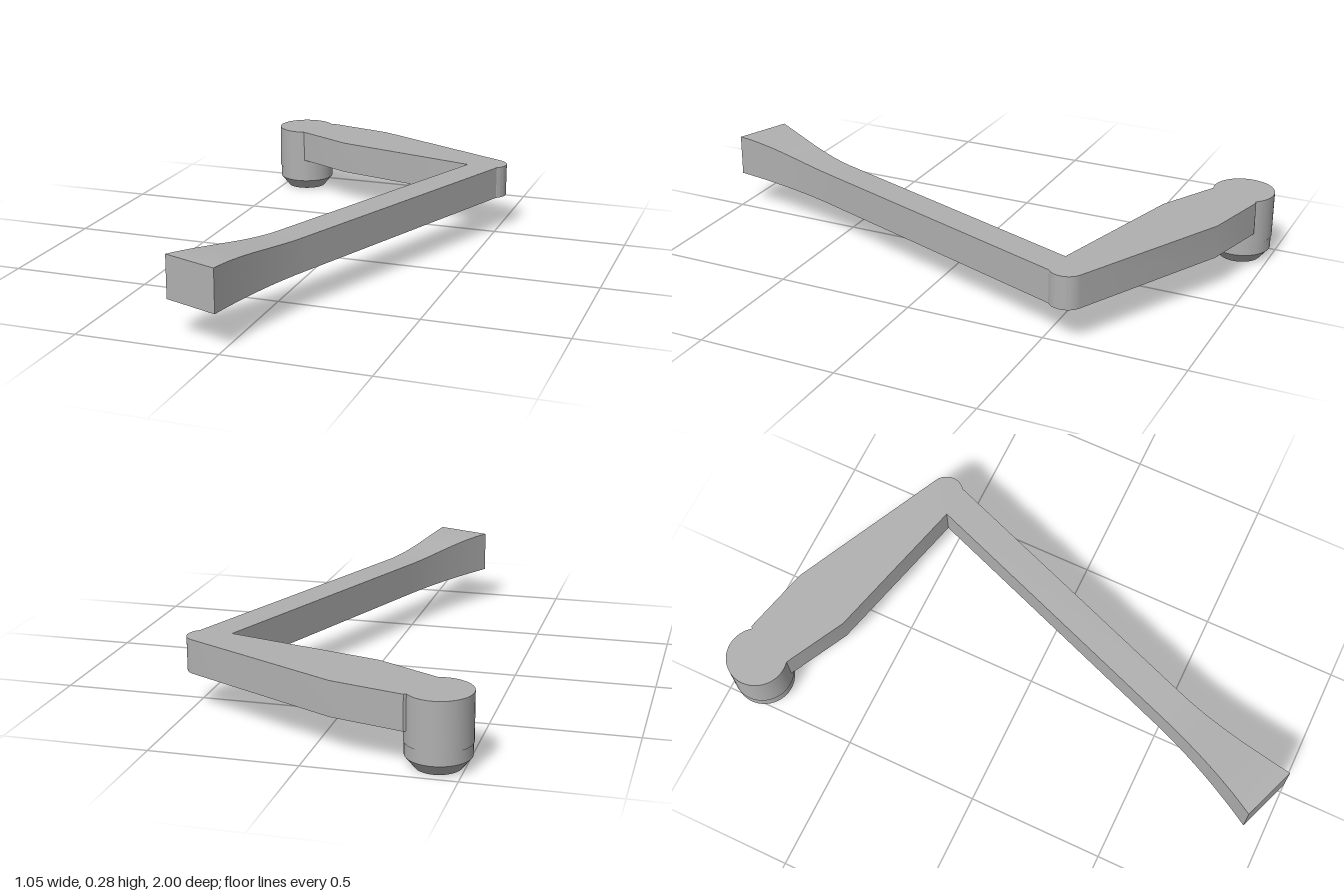
import * as THREE from 'three';
import { toCreasedNormals } from 'three/addons/utils/BufferGeometryUtils.js';

const BOTTOM = 0.13, TOP = 0.25;
const END = [-0.111, 0.96];      // middle of the flared tip (x, z)
const ANGLE = -0.355;            // heading of the long arm
const HALF = 0.0565;             // half width of the long arm
const FLARE = 0.47;              // length of the flared tip

// point on the long arm: distance back from the tip, offset across
function armPoint(back, across) {
  const s = Math.sin(ANGLE), c = Math.cos(ANGLE);
  return [END[0] - s * back + c * across, END[1] - c * back - s * across];
}

export function createModel() {
  const model = new THREE.Group();
  const grey = new THREE.MeshStandardMaterial({ color: 0xb0b0b0 });
  grey.name = 'grey';
  const add = (name, geometry) => {
    const mesh = new THREE.Mesh(geometry, grey);
    mesh.name = name;
    model.add(mesh);
    return mesh;
  };

  // bent lever: short arm, rounded elbow and straight long arm
  const outline = new THREE.Shape();
  const line = ([x, z]) => outline.lineTo(x, -z);
  outline.moveTo(-0.415, 0.89);
  line([-0.39, -0.785]);
  line([-0.17, -0.67]);
  line([0.38, -0.525]);
  line(armPoint(FLARE, -HALF));
  line(armPoint(FLARE, HALF));
  outline.absarc(0.46, 0.567, 0.063, -0.93, 1.107, false);
  line([-0.07, -0.90]);
  line([-0.32, -0.963]);
  outline.closePath();
  const lever = new THREE.ExtrudeGeometry(outline, {
    depth: TOP - BOTTOM, bevelEnabled: false, curveSegments: 20,
  });
  lever.rotateX(-Math.PI / 2).translate(0, BOTTOM, 0);
  add('bentLever', toCreasedNormals(lever, 0.3));

  // flared tip: widens and rises toward its end
  const tip = new THREE.BoxGeometry(1, 1, 1, 1, 1, 16);
  const pos = tip.attributes.position;
  for (let i = 0; i < pos.count; i++) {
    const t = pos.getZ(i) + 0.5;
    const width = 2 * (HALF + 0.0485 * Math.pow(t, 1.9));
    const height = TOP - BOTTOM + 0.03 * t * t * (3 - 2 * t);
    pos.setXYZ(i, pos.getX(i) * width, BOTTOM + (pos.getY(i) + 0.5) * height, (t - 1) * FLARE);
  }
  tip.computeVertexNormals();
  const tipMesh = add('flaredTip', tip);
  tipMesh.position.set(END[0], 0, END[1]);
  tipMesh.rotation.y = ANGLE;

  // round boss with a chamfered foot and a fine step
  const profile = [
    [0, 0], [0.075, 0], [0.1075, 0.04], [0.1075, 0.085], [0.11, 0.085], [0.11, TOP], [0, TOP],
  ].map(([r, y]) => new THREE.Vector2(r, y));
  const boss = add('pivotBoss', toCreasedNormals(new THREE.LatheGeometry(profile, 48), 0.4));
  boss.position.set(-0.415, 0, -0.89);

  return model;
}
